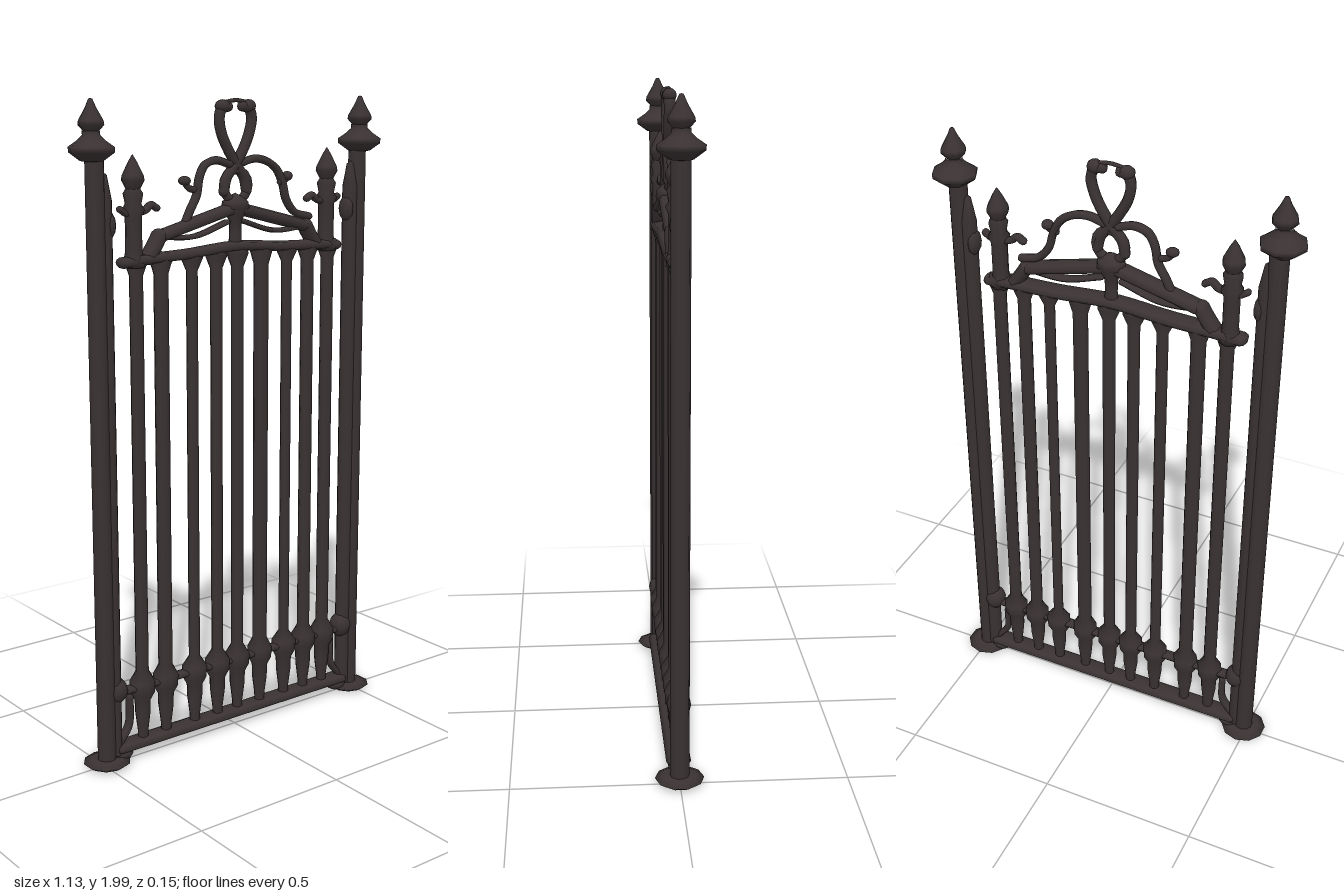
import * as THREE from 'three';

export function createModel() {
  const gate = new THREE.Group();
  gate.name = 'gate';
  const iron = new THREE.MeshStandardMaterial({ color: 0x3a3233 });
  iron.name = 'dark iron';

  const add = (name, geometry, parent = gate) => {
    const mesh = new THREE.Mesh(geometry, iron);
    mesh.name = name;
    parent.add(mesh);
    return mesh;
  };

  // Turned part from [radius, height] pairs, standing at x
  const turned = (name, x, profile, parent = gate, sides = 10) => {
    const points = profile.map(([r, y]) => new THREE.Vector2(r, y));
    const mesh = add(name, new THREE.LatheGeometry(points, sides), parent);
    mesh.position.x = x;
    return mesh;
  };

  // Round rod through [x, y] points, with closed ends
  const rod = (name, path, radius, depth = radius, parent = gate) => {
    const pts = path.map(([x, y]) => new THREE.Vector3(x, y, 0));
    const curve = new THREE.CatmullRomCurve3(pts, false, 'centripetal');
    const steps = path.length > 2 ? path.length * 5 : 1;
    const part = new THREE.Group();
    part.name = name;
    part.scale.z = depth / radius;
    parent.add(part);
    add(name + 'Tube', new THREE.TubeGeometry(curve, steps, radius, 8), part);
    for (const p of [pts[0], pts[pts.length - 1]]) {
      add(name + 'End', new THREE.SphereGeometry(radius, 8, 6), part).position.copy(p);
    }
    return part;
  };

  const knob = (name, x, y, rx, ry, rz, parent = gate) => {
    const mesh = add(name, new THREE.SphereGeometry(1, 10, 6), parent);
    mesh.position.set(x, y, 0);
    mesh.scale.set(rx, ry, rz);
  };

  for (const side of [-1, 1]) {
    const post = new THREE.Group();
    post.name = side < 0 ? 'rightPost' : 'leftPost';
    gate.add(post);

    // Outer post with foot, collar and spear finial
    turned('postShaft', side * 0.49, [[0, 0.02], [0.029, 0.02], [0.028, 1.84], [0, 1.84]], post);
    turned('stile', side * 0.463, [[0, 0.04], [0.025, 0.04], [0.025, 1.72], [0.012, 1.79], [0, 1.8]], post);
    turned('foot', side * 0.49, [[0, 0.01], [0.055, 0.012], [0.073, 0.024], [0.05, 0.032], [0, 0.035]], post);
    turned('postCollar', side * 0.498,
      [[0, 1.825], [0.034, 1.83], [0.066, 1.853], [0.067, 1.868], [0.042, 1.885], [0.026, 1.9], [0.026, 1.912]], post, 8);
    turned('postFinial', side * 0.498,
      [[0.02, 1.908], [0.038, 1.928], [0.036, 1.94], [0.016, 1.975], [0.006, 1.998], [0, 2]], post, 8);

    // Hinge lugs between post and gate
    knob('lowerHinge', side * 0.453, 0.245, 0.036, 0.042, 0.037, post);
    knob('upperHinge', side * 0.447, 1.65, 0.018, 0.04, 0.03, post);
    knob('footLug', side * 0.435, 0.035, 0.035, 0.02, 0.032, post);
    rod('cornerBrace', [[side * 0.445, 0.07], [side * 0.41, 0.12], [side * 0.405, 0.21]], 0.011, 0.016, post);

    // Gate end post with finial and little leaf arms
    const x = side * 0.363;
    turned('innerPost', x,
      [[0, 1.52], [0.032, 1.525], [0.03, 1.55], [0.025, 1.57], [0.025, 1.67], [0.034, 1.69],
        [0.024, 1.705], [0.03, 1.735], [0.02, 1.75]], gate, 8);
    turned('innerFinial', x,
      [[0.02, 1.745], [0.034, 1.772], [0.032, 1.785], [0.014, 1.822], [0, 1.845]], gate, 8);
    rod('leafArmOuter', [[x, 1.685], [x + side * 0.025, 1.68], [x + side * 0.045, 1.692]], 0.01, 0.014);
    rod('leafArmInner', [[x, 1.68], [x - side * 0.04, 1.685], [x - side * 0.06, 1.7], [x - side * 0.08, 1.69]], 0.011, 0.014);
    rod('railStub', [[side * 0.31, 1.545], [side * 0.4, 1.54]], 0.017, 0.03);

    // Low gable over the top rail
    rod('gableBar', [[side * 0.265, 1.61], [side * 0.02, 1.672]], 0.019, 0.03);
    rod('gableLeg', [[side * 0.275, 1.61], [side * 0.29, 1.585], [side * 0.315, 1.55]], 0.021, 0.03);
    rod('gableTie', [[side * 0.27, 1.605], [side * 0.15, 1.6], [side * 0.03, 1.635]], 0.008, 0.018);
  }

  // Rails
  rod('bottomRail', [[-0.45, 0.055], [0.45, 0.055]], 0.016, 0.037);
  rod('lowerRail', [[-0.45, 0.235], [0.45, 0.235]], 0.012, 0.02);
  rod('topRail', [[-0.36, 1.545], [-0.18, 1.55], [0, 1.562], [0.18, 1.55], [0.36, 1.545]], 0.016, 0.035);

  // Upright bars: [x, radius]
  const bars = [[-0.357, 0.022], [-0.27, 0.024], [-0.159, 0.019], [-0.069, 0.02], [0.011, 0.021],
    [0.103, 0.025], [0.204, 0.018], [0.288, 0.022], [0.37, 0.022]];
  for (const [x, r] of bars) {
    turned('bar', x,
      [[0.017, 0.055], [0.018, 0.09], [0.026, 0.15], [0.027, 0.19], [0.041, 0.215], [0.043, 0.25],
        [r, 0.285], [r, 1.5], [0.037, 1.54], [0.03, 1.56], [0, 1.565]], gate, 8).scale.z = 0.85;
  }

  // Centre stem of the crest
  turned('crestStem', 0.003,
    [[0.024, 1.55], [0.02, 1.6], [0.022, 1.64], [0.047, 1.675], [0.043, 1.695], [0.022, 1.71], [0, 1.72]], gate, 8).scale.z = 0.8;
  const ring = add('crestRing', new THREE.TorusGeometry(0.046, 0.014, 8, 16));
  ring.position.set(0.005, 1.742, 0);

  // Crossing strands that open into a heart and curl inward at the top
  rod('heartStrandRight', [[0.045, 1.725], [0.035, 1.765], [0.008, 1.8], [-0.025, 1.85], [-0.048, 1.895],
    [-0.056, 1.94], [-0.046, 1.968], [-0.025, 1.972]], 0.0155, 0.017);
  rod('heartStrandLeft', [[-0.04, 1.725], [-0.03, 1.765], [0.0, 1.8], [0.034, 1.85], [0.055, 1.895],
    [0.064, 1.94], [0.052, 1.968], [0.03, 1.972]], 0.0155, 0.017);
  knob('heartCurlRight', -0.044, 1.973, 0.024, 0.02, 0.022);
  knob('heartCurlLeft', 0.052, 1.973, 0.024, 0.02, 0.022);
  rod('heartLink', [[-0.035, 1.985], [0.005, 1.99], [0.043, 1.985]], 0.006);

  // Side scrolls with bud stubs
  rod('scrollRight', [[-0.185, 1.635], [-0.165, 1.675], [-0.14, 1.72], [-0.13, 1.77], [-0.11, 1.805],
    [-0.07, 1.818], [-0.02, 1.805]], 0.012, 0.015);
  rod('scrollLeft', [[0.29, 1.635], [0.235, 1.65], [0.2, 1.69], [0.185, 1.74], [0.16, 1.785],
    [0.115, 1.812], [0.07, 1.818], [0.02, 1.805]], 0.012, 0.015);
  rod('budStemRight', [[-0.135, 1.735], [-0.165, 1.74], [-0.185, 1.76]], 0.01);
  rod('budStemLeft', [[0.175, 1.745], [0.195, 1.75], [0.207, 1.762]], 0.01);
  knob('budRight', -0.183, 1.763, 0.02, 0.014, 0.018);
  knob('budLeft', 0.203, 1.762, 0.018, 0.015, 0.018);

  return gate;
}
